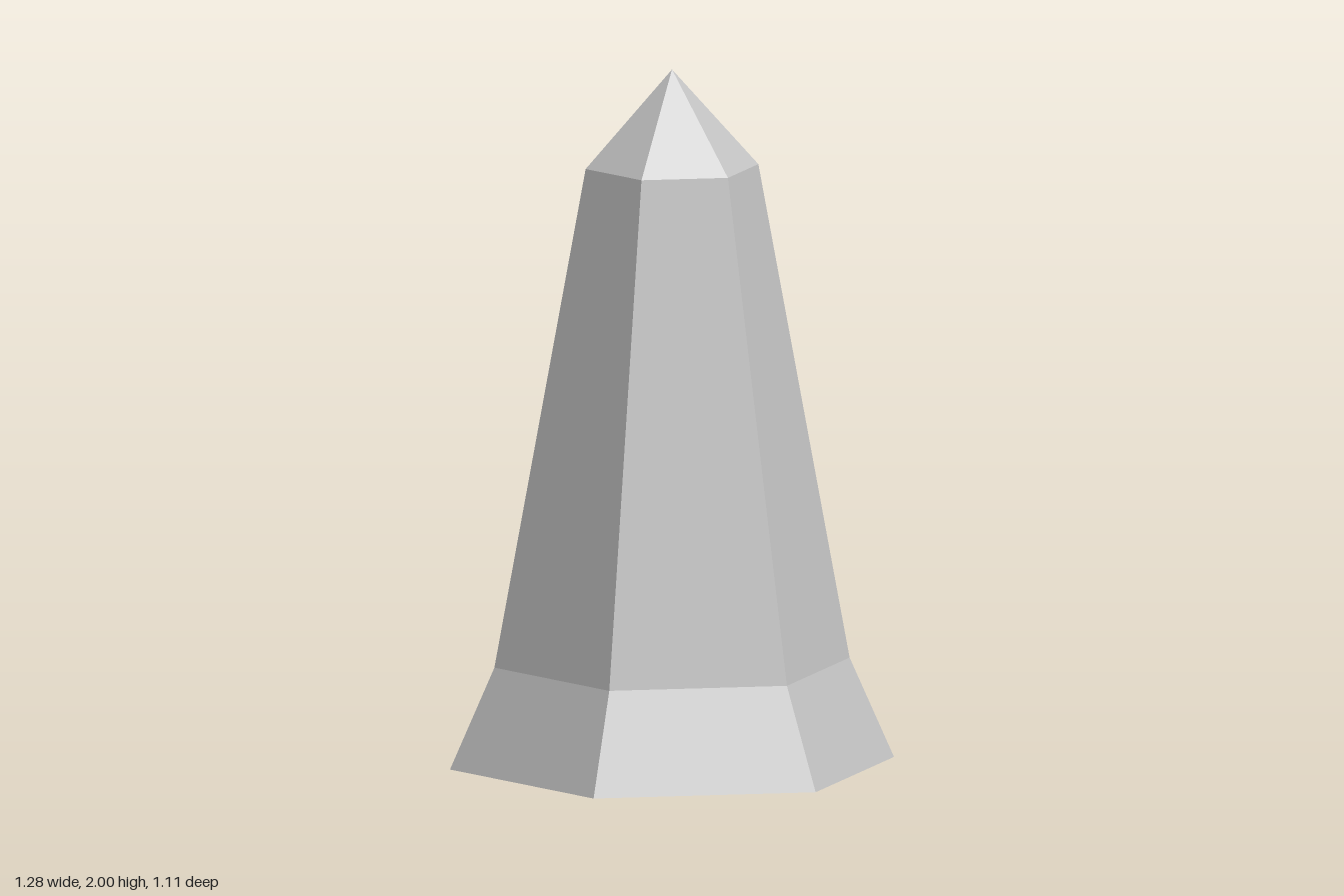
import * as THREE from 'three';

export function createModel() {
  const group = new THREE.Group();
  group.name = 'hexagonalObelisk';
  const stone = new THREE.MeshStandardMaterial({ color: 0xc4c4c4 });
  stone.name = 'pale grey stone';

  // Six-sided section with corners on the x axis and flat-shaded facets
  function addSection(name, y0, y1, r0, r1, open) {
    const indexed = new THREE.CylinderGeometry(r1, r0, y1 - y0, 6, 1, open, Math.PI / 2);
    const geometry = indexed.toNonIndexed();
    geometry.computeVertexNormals();
    const mesh = new THREE.Mesh(geometry, stone);
    mesh.name = name;
    mesh.position.y = (y0 + y1) / 2;
    group.add(mesh);
  }

  // Flared foot, closed underneath by its own disc
  addSection('flaredBase', 0, 0.29, 0.64, 0.512, true);
  // Tall tapering body
  addSection('shaft', 0.29, 1.72, 0.512, 0.249, true);
  // Pointed cap
  addSection('tip', 1.72, 2, 0.249, 0, true);

  // Underside
  const bottom = new THREE.Mesh(new THREE.CircleGeometry(0.64, 6), stone);
  bottom.name = 'underside';
  bottom.rotation.x = Math.PI / 2;
  group.add(bottom);

  return group;
}
